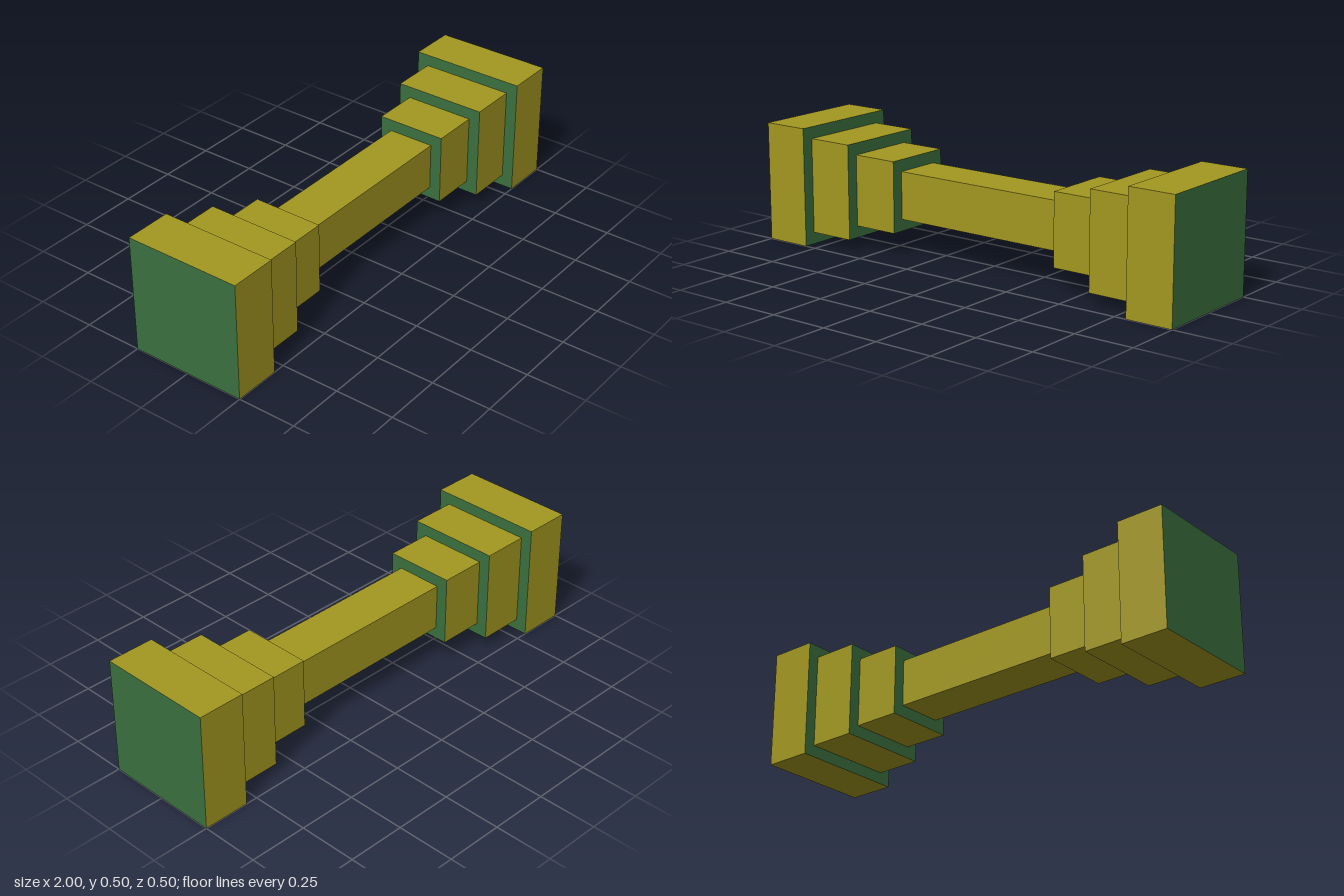
import * as THREE from 'three';

export function createModel() {
  const model = new THREE.Group();
  const olive = new THREE.MeshStandardMaterial({ color: 0xa39820 });
  const green = new THREE.MeshStandardMaterial({ color: 0x3a703e });
  // Box faces run +x, -x, +y, -y, +z, -z: the end faces are green
  const faces = [green, green, olive, olive, olive, olive];

  // Square block centred on the bar's axis
  function block(name, length, size, x) {
    const mesh = new THREE.Mesh(new THREE.BoxGeometry(length, size, size), faces);
    mesh.name = name;
    mesh.position.set(x, 0.25, 0);
    model.add(mesh);
  }

  // Handle between the weights
  block('handle', 0.8, 0.2, 0);

  // Three stepped weights on each end, growing outward
  for (const [side, sign] of [['left', 1], ['right', -1]]) {
    block(side + 'InnerWeight', 0.2, 0.3, sign * 0.5);
    block(side + 'MiddleWeight', 0.2, 0.4, sign * 0.7);
    block(side + 'OuterWeight', 0.2, 0.5, sign * 0.9);
  }
  return model;
}
